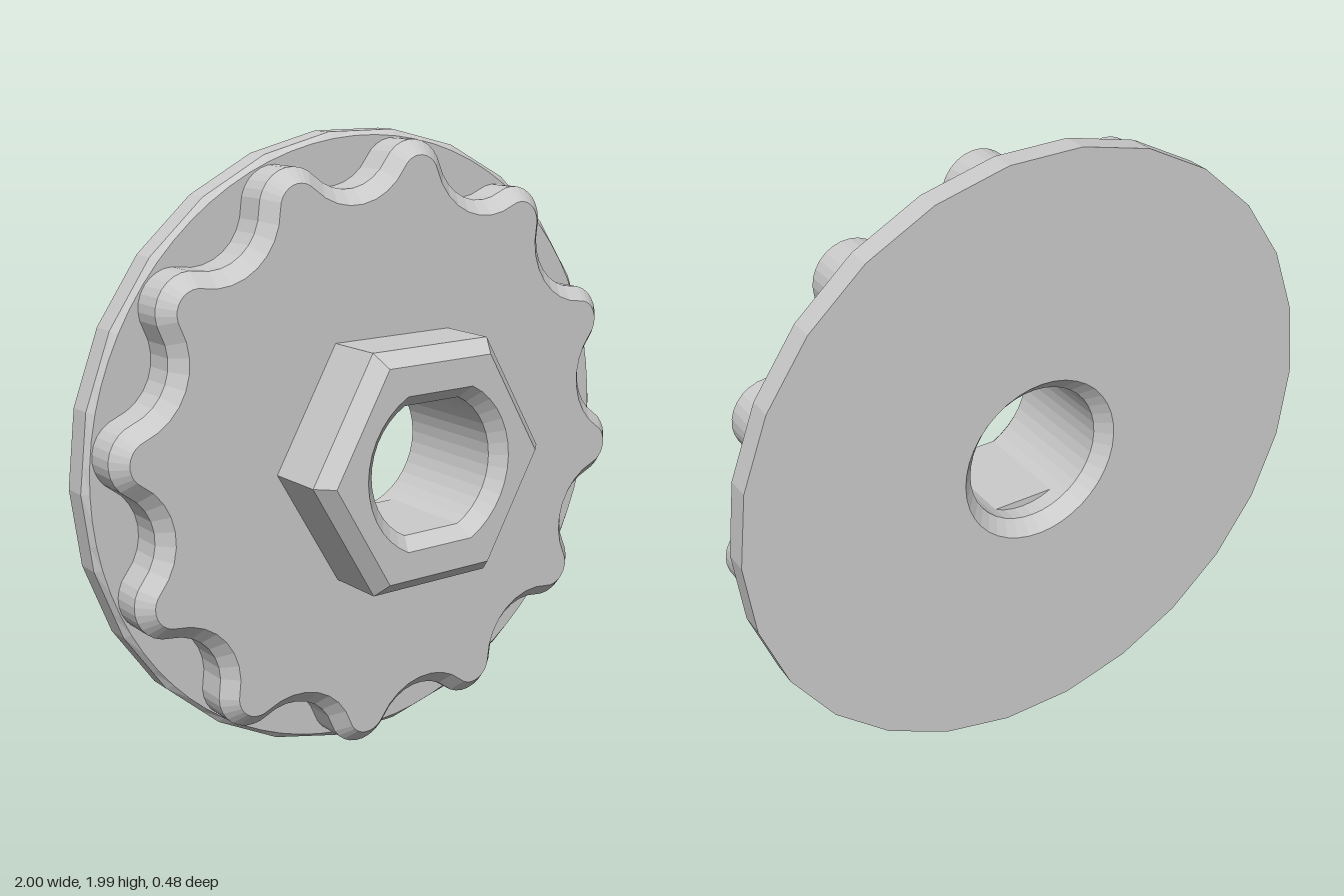
import * as THREE from 'three';

const material = new THREE.MeshStandardMaterial({ color: 0xcccccc, flatShading: true });
const RAD = Math.PI / 180;
const polar = (r, deg) => new THREE.Vector2(r * Math.cos(deg * RAD), r * Math.sin(deg * RAD));

// Regular polygon with its first corner on +x
const polygon = (n, r) => Array.from({ length: n }, (_, i) => polar(r, (i * 360) / n));

// Round hole outline, optionally flattened at top and bottom from 63 degrees on
function bore(r, flat) {
  const limit = flat ? r * Math.sin(63 * RAD) : r;
  return polygon(40, r).map((p) => p.set(p.x, THREE.MathUtils.clamp(p.y, -limit, limit)));
}

// Twelve convex lobes joined by tangent hollows; inset moves the outline inwards
function lobes(inset) {
  const points = [];
  const lobeCentre = 0.86, hollowCentre = 1.012;
  const lobeRadius = 0.115 - inset, hollowRadius = 0.172 + inset;
  const sweep = 65.85; // direction from lobe centre to hollow centre
  for (let k = 0; k < 12; k++) {
    const t = k * 30 - 7;
    const b = polar(lobeCentre, t), v = polar(hollowCentre, t + 15);
    for (let i = 0; i <= 10; i++) points.push(polar(lobeRadius, t + sweep * (i / 5 - 1)).add(b));
    for (let i = 1; i < 8; i++) points.push(polar(hollowRadius, t + 195 + (sweep - 15) * (1 - i / 4)).add(v));
  }
  return points;
}

// Wall through [outline, z] rings: faces outwards for rising z, inwards for falling z
function loft(rings) {
  const pos = [];
  for (let k = 0; k + 1 < rings.length; k++) {
    const [lo, z0] = rings[k], [hi, z1] = rings[k + 1];
    lo.forEach((a, i) => {
      const j = (i + 1) % lo.length, b = lo[j], c = hi[j], d = hi[i];
      pos.push(a.x, a.y, z0, b.x, b.y, z0, c.x, c.y, z1);
      pos.push(a.x, a.y, z0, c.x, c.y, z1, d.x, d.y, z1);
    });
  }
  const g = new THREE.BufferGeometry();
  g.setAttribute('position', new THREE.Float32BufferAttribute(pos, 3));
  g.computeVertexNormals();
  return g;
}

// Flat front-facing surface with a hole
function face(outline, hole) {
  const shape = new THREE.Shape(outline);
  shape.holes.push(new THREE.Path(hole));
  return new THREE.ShapeGeometry(shape);
}

export function createModel() {
  const wheel = new THREE.Group();
  wheel.name = 'handwheel';
  const part = (name, ...geometries) => {
    const group = new THREE.Group();
    group.name = name;
    geometries.forEach((g) => group.add(new THREE.Mesh(g, material)));
    wheel.add(group);
  };

  // Back plate: 26 sides, three points per side, with a round front chamfer
  const apothem = Math.cos(Math.PI / 26);
  const rim = polygon(78, 1).map((p, i) => (i % 3 ? p.multiplyScalar(apothem / Math.cos(Math.PI / 78)) : p));
  const rimInset = polygon(78, 0.98);
  part('backPlate',
    loft([[rim, -0.24], [rim, -0.163], [rimInset, -0.145]]),
    face(rimInset, lobes(0)).translate(0, 0, -0.145),
    face(rim, bore(0.272, false)).rotateY(Math.PI).translate(0, 0, -0.24));

  // Lobed grip wheel
  const hex = polygon(6, 0.435), hexInset = polygon(6, 0.385);
  part('gripWheel',
    loft([[lobes(0), -0.145], [lobes(0), -0.045], [lobes(0.045), 0]]),
    face(lobes(0.045), hex));

  // Chamfered hexagonal boss
  part('hexBoss',
    loft([[hex, 0], [hex, 0.19], [hexInset, 0.24]]),
    face(hexInset, bore(0.272, true)).translate(0, 0, 0.24));

  // Bore: flattened in front, stepping to a round hole through the plate
  const keyed = bore(0.228, true), round = bore(0.228, false);
  part('bore',
    loft([[bore(0.272, true), 0.24], [keyed, 0.195], [keyed, -0.14]]),
    loft([[keyed, -0.14], [round, -0.14], [round, -0.195], [bore(0.272, false), -0.24]]));

  // Stand the wheel on one flat of its rim
  wheel.position.y = apothem;
  const model = new THREE.Group();
  model.add(wheel);
  return model;
}
